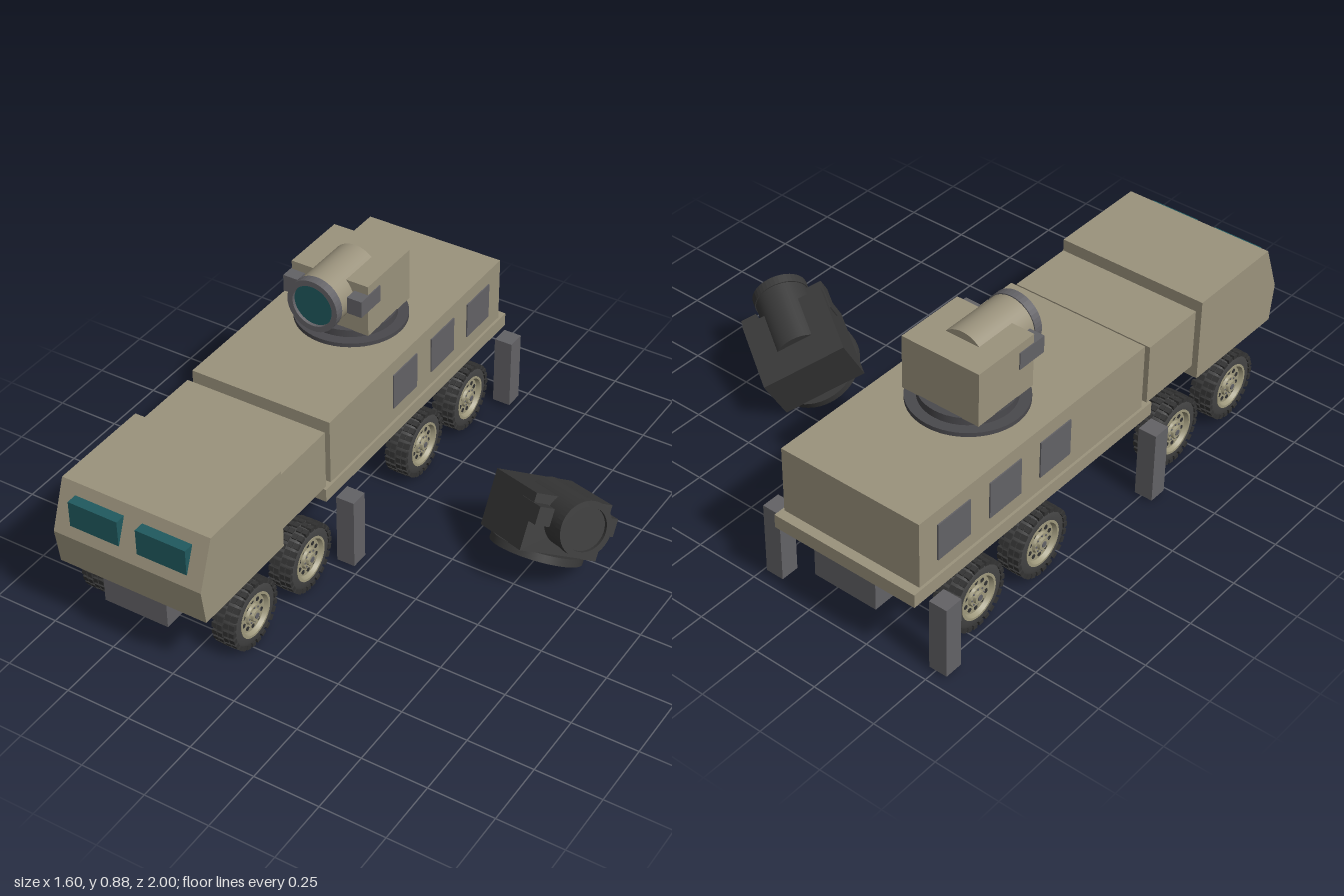
import * as THREE from 'three';
import { mergeGeometries, toCreasedNormals } from 'three/addons/utils/BufferGeometryUtils.js';

const paint = (name, color) => {
  const m = new THREE.MeshStandardMaterial({ color });
  m.name = name;
  return m;
};

export function createModel() {
  const root = new THREE.Group();
  root.name = 'truckAndFallenTurret';

  const sand = paint('sandPaint', 0x9b937d);
  const steel = paint('greySteel', 0x636266);
  const darkSteel = paint('darkSteel', 0x4a494d);
  const glass = paint('tealGlass', 0x205a5f);
  const rubber = paint('rubber', 0x434343);
  const tread = paint('treadRubber', 0x333333);
  const rimPaint = paint('rimPaint', 0x9f997d);
  const burnt = paint('burntMetal', 0x393939);

  function add(parent, name, geometry, material) {
    const mesh = new THREE.Mesh(geometry, material);
    mesh.name = name;
    parent.add(mesh);
    return mesh;
  }
  // Box given by its limits on each axis
  function box(parent, name, x0, x1, y0, y1, z0, z1, material) {
    const g = new THREE.BoxGeometry(x1 - x0, y1 - y0, z1 - z0);
    g.translate((x0 + x1) / 2, (y0 + y1) / 2, (z0 + z1) / 2);
    return add(parent, name, g, material);
  }

  const truck = new THREE.Group();
  truck.name = 'truck';
  truck.position.x = -0.41;
  root.add(truck);

  // Chassis, bed and bodies
  box(truck, 'chassis', -0.13, 0.13, 0.175, 0.29, -0.995, 0.97, steel);
  box(truck, 'bed', -0.297, 0.297, 0.287, 0.34, -1, 0.255, sand);
  box(truck, 'container', -0.287, 0.287, 0.34, 0.6, -0.963, 0.21, sand);
  box(truck, 'equipmentBox', -0.287, 0.287, 0.342, 0.578, 0.24, 0.508, sand);

  // Cab: side profile extruded across the width
  const profile = new THREE.Shape([
    [0.525, 0.283], [0.98, 0.283], [1, 0.425], [0.93, 0.61], [0.525, 0.61],
  ].map(([z, y]) => new THREE.Vector2(z, y)));
  const cab = new THREE.ExtrudeGeometry(profile, { depth: 0.6, bevelEnabled: false });
  cab.rotateY(-Math.PI / 2).translate(0.3, 0, 0);
  add(truck, 'cab', cab, sand);

  for (const s of [-1, 1]) {
    const cx = s * 0.137;
    box(truck, 'windscreen', cx - 0.1, cx + 0.1, 0.466, 0.568, 0.92, 0.987, glass);
    // Container side panels
    for (const z of [-0.28, -0.54, -0.797]) {
      const x = s * 0.288;
      box(truck, 'sidePanel', x - 0.004, x + 0.004, 0.398, 0.543, z - 0.08, z + 0.08, steel);
    }
    // Stabiliser legs
    for (const z of [-0.92, 0.19]) {
      const x = s * 0.355;
      box(truck, 'stabiliserLeg', x - 0.036, x + 0.036, 0.013, 0.298, z - 0.036, z + 0.036, steel);
    }
  }

  // Wheel geometry, built with its outer face towards +x
  const onAxle = (g) => g.rotateZ(-Math.PI / 2);
  const tyreGeo = onAxle(toCreasedNormals(new THREE.LatheGeometry([
    [0, -0.044], [0.108, -0.044], [0.122, -0.036], [0.126, -0.02], [0.126, 0.02],
    [0.122, 0.036], [0.108, 0.044], [0.086, 0.044], [0.08, 0.024], [0, 0.024],
  ].map(([r, y]) => new THREE.Vector2(r, y)), 40), 0.6));
  const blocks = [];
  const count = 26;
  for (let i = 0; i < count; i++) {
    for (const side of [-1, 1]) {
      const a = ((i + (side > 0 ? 0.5 : 0)) / count) * Math.PI * 2;
      const inner = new THREE.BoxGeometry(0.019, 0.012, 0.02);
      inner.translate(side * 0.012, 0.126, 0);
      const outer = new THREE.BoxGeometry(0.02, 0.016, 0.02);
      outer.translate(side * 0.035, 0.123, 0);
      blocks.push(inner.rotateX(a), outer.rotateX(a));
    }
  }
  const treadGeo = mergeGeometries(blocks);
  // Rim dish, raised lip and hub
  const rimGeo = onAxle(toCreasedNormals(new THREE.LatheGeometry([
    [0.086, 0.036], [0.086, 0.046], [0.077, 0.046], [0.07, 0.031], [0.04, 0.031],
    [0.036, 0.04], [0.024, 0.04], [0.022, 0.05], [0, 0.05],
  ].map(([r, y]) => new THREE.Vector2(r, y)), 32), 0.5));
  const ringOfDiscs = (n, radius, size, x) => mergeGeometries(
    Array.from({ length: n }, (_, i) => {
      const g = onAxle(new THREE.CylinderGeometry(size, size, 0.004, 10));
      return g.translate(x, radius, 0).rotateX((i / n) * Math.PI * 2);
    }));
  const holeGeo = ringOfDiscs(10, 0.054, 0.0085, 0.031);
  const boltGeo = ringOfDiscs(8, 0.03, 0.0035, 0.041);
  const capGeo = onAxle(new THREE.CylinderGeometry(0.011, 0.011, 0.006, 16)).translate(0.05, 0, 0);

  for (const s of [-1, 1]) {
    for (const z of [0.73, 0.39, -0.37, -0.705]) {
      const wheel = new THREE.Group();
      wheel.name = 'wheel';
      wheel.position.set(s * 0.273, 0.134, z);
      if (s < 0) wheel.rotation.y = Math.PI;
      add(wheel, 'tyre', tyreGeo, rubber);
      add(wheel, 'tread', treadGeo, tread);
      add(wheel, 'rim', rimGeo, rimPaint).material.side = THREE.DoubleSide;
      add(wheel, 'rimHoles', holeGeo, tread);
      add(wheel, 'wheelBolts', boltGeo, steel);
      add(wheel, 'hubCap', capGeo, steel);
      truck.add(wheel);
    }
  }

  // Turret: turntable, housing and a barrel-shaped sensor facing +z
  function makeTurret(name, body, detail, plate, lens) {
    const t = new THREE.Group();
    t.name = name;
    add(t, 'turntable', new THREE.CylinderGeometry(0.17, 0.17, 0.03, 48).translate(0, 0.015, 0), plate);
    box(t, 'housing', -0.16, 0.16, 0.028, 0.237, -0.142, 0.138, body);
    const barrel = new THREE.CylinderGeometry(0.1, 0.1, 0.25, 40);
    add(t, 'sensorBarrel', barrel.rotateX(Math.PI / 2).translate(0, 0.165, 0.095), body);
    const ring = new THREE.Shape().absarc(0, 0, 0.104, 0, Math.PI * 2);
    ring.holes.push(new THREE.Path().absarc(0, 0, 0.082, 0, Math.PI * 2, true));
    const ringGeo = new THREE.ExtrudeGeometry(ring, { depth: 0.035, bevelEnabled: false, curveSegments: 20 });
    add(t, 'lensRing', ringGeo.translate(0, 0.165, 0.218), detail);
    add(t, 'lens', new THREE.CircleGeometry(0.084, 40).translate(0, 0.165, 0.24), lens);
    for (const s of [-1, 1]) {
      const x = s * 0.134;
      box(t, 'sideSensor', x - 0.03, x + 0.03, 0.137, 0.203, 0.063, 0.188, detail);
    }
    return t;
  }

  const mount = new THREE.CylinderGeometry(0.21, 0.21, 0.018, 48);
  add(truck, 'turretMount', mount.translate(0, 0.607, -0.378), darkSteel);
  const turret = makeTurret('turret', sand, steel, darkSteel, glass);
  turret.position.set(0, 0.615, -0.378);
  truck.add(turret);

  // Burnt turret lying tilted beside the truck
  const fallen = makeTurret('fallenTurret', burnt, burnt, burnt, burnt);
  fallen.position.set(0.53, 0.097, -0.1);
  fallen.rotation.set(-0.54, 0.97, 0);
  root.add(fallen);

  return root;
}
